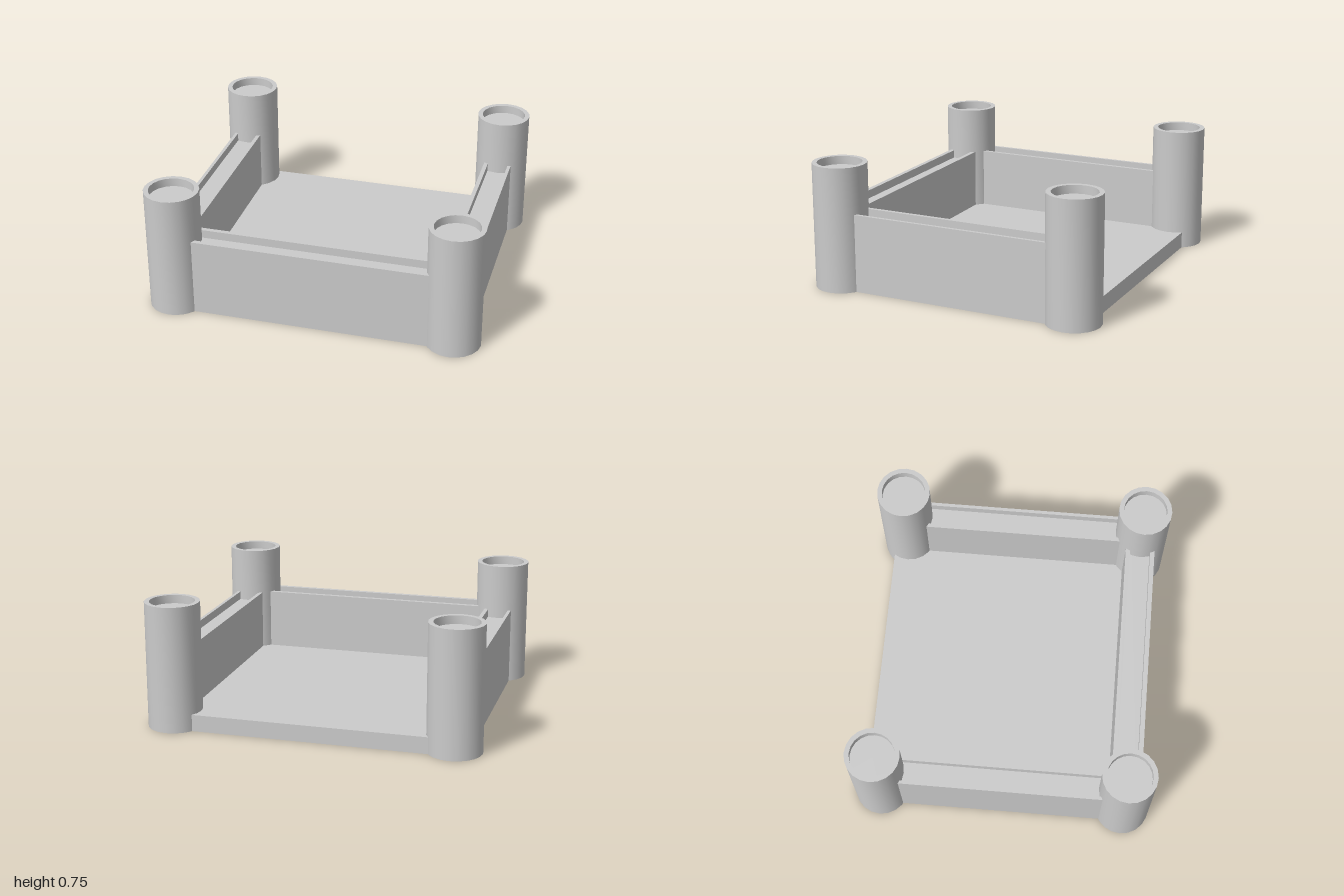
import * as THREE from 'three';
import { toCreasedNormals } from 'three/addons/utils/BufferGeometryUtils.js';

const material = new THREE.MeshStandardMaterial({ color: 0xcccccc });
const TOWER_X = 0.838, TOWER_Z = 0.744, TOWER_R = 0.162, TOWER_H = 0.755;
const WALL_H = 0.47, FLOOR_H = 0.1, RECESS = 0.05;

// Solid wall with a shallow channel along its top; cross-section spans inner..outer
function wallGeometry(inner, outer, lipInner, lipOuter, length) {
  const a = inner + lipInner, b = outer - lipOuter, g = WALL_H - RECESS;
  const section = new THREE.Shape([
    [inner, 0], [outer, 0], [outer, WALL_H], [b, WALL_H],
    [b, g], [a, g], [a, WALL_H], [inner, WALL_H],
  ].map(([x, y]) => new THREE.Vector2(x, y)));
  return new THREE.ExtrudeGeometry(section, { depth: length, bevelEnabled: false })
    .translate(0, 0, -length / 2);
}

export function createModel() {
  const model = new THREE.Group();
  model.name = 'walledTray';

  const add = (name, geometry, x = 0, y = 0, z = 0) => {
    const mesh = new THREE.Mesh(geometry, material);
    mesh.name = name;
    mesh.position.set(x, y, z);
    model.add(mesh);
    return mesh;
  };

  // Floor, open along the back edge
  add('floor', new THREE.BoxGeometry(1.5, FLOOR_H, 1.484), 0, FLOOR_H / 2, -0.09);

  // Side walls and front wall
  const side = wallGeometry(0.75, 0.92, 0.025, 0.02, 2 * TOWER_Z);
  add('leftWall', side);
  add('rightWall', side).rotation.y = Math.PI;
  add('frontWall', wallGeometry(0.65, 0.83, 0.028, 0.028, 2 * TOWER_X)).rotation.y = -Math.PI / 2;

  // Corner towers with a shallow round recess in the top
  const profile = [
    [0, 0], [TOWER_R, 0], [TOWER_R, TOWER_H], [0.133, TOWER_H],
    [0.133, TOWER_H - RECESS], [0, TOWER_H - RECESS],
  ].map(([r, y]) => new THREE.Vector2(r, y));
  const tower = toCreasedNormals(new THREE.LatheGeometry(profile, 20), 0.6);
  for (const [endName, sz] of [['front', 1], ['back', -1]]) {
    for (const [sideName, sx] of [['Left', 1], ['Right', -1]]) {
      add(`${endName}${sideName}Tower`, tower, sx * TOWER_X, 0, sz * TOWER_Z);
    }
  }
  return model;
}
